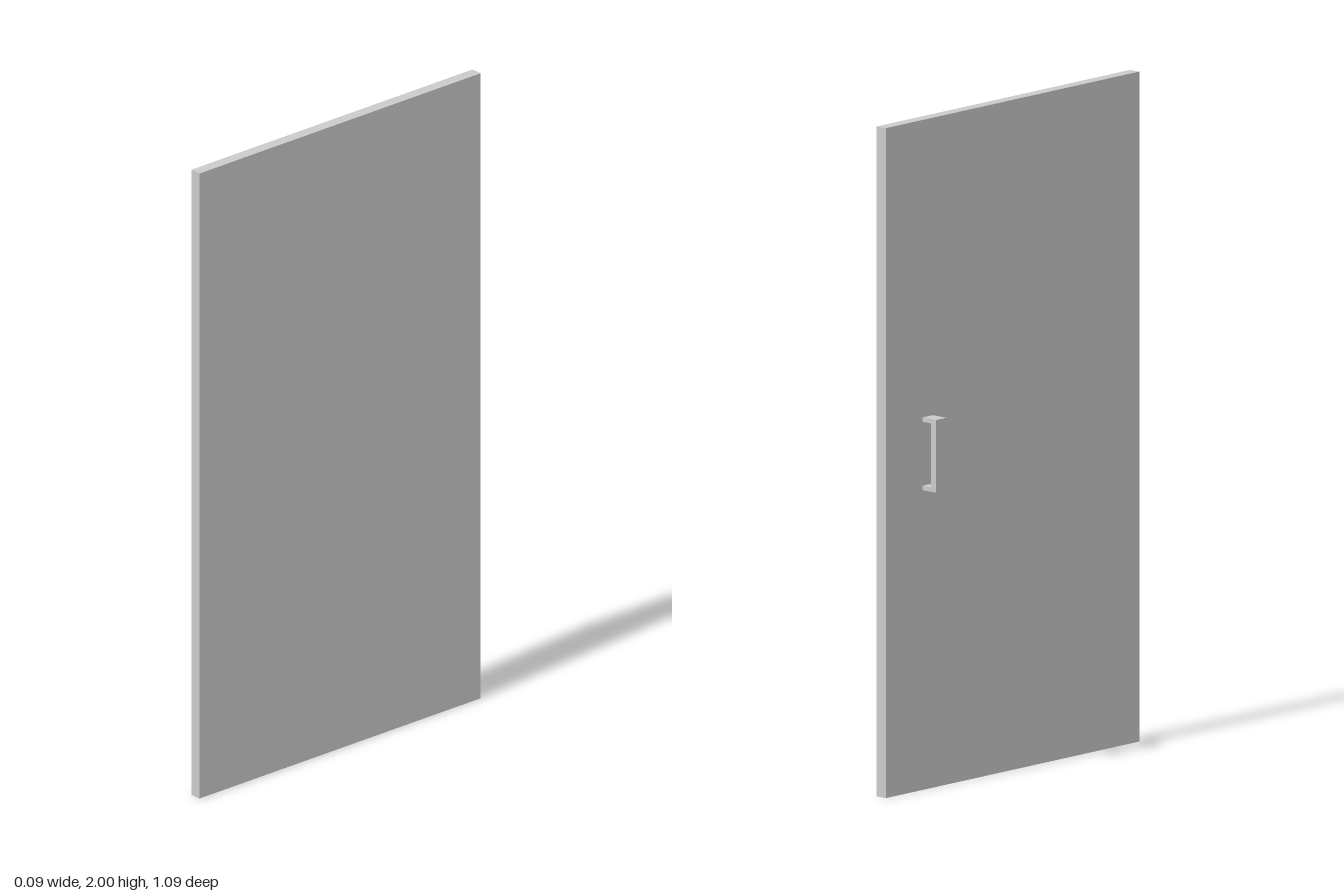
import * as THREE from 'three';

export function createModel() {
  const group = new THREE.Group();
  const material = new THREE.MeshStandardMaterial({ color: 0xcccccc, flatShading: true });

  // Plain slab door panel
  const panel = new THREE.Mesh(new THREE.BoxGeometry(0.036, 2, 1.09), material);
  panel.name = 'doorPanel';
  panel.position.set(0.027, 1, 0);
  group.add(panel);

  // C-shaped pull handle, extruded along z near the back edge
  const outer = -0.045, inner = -0.024, base = 0.009;
  const top = 1.112, bottom = 0.895, leg = 0.013;
  const profile = new THREE.Shape([
    [base, bottom], [base, bottom + leg], [inner, bottom + leg], [inner, top - leg],
    [base, top - leg], [base, top], [outer, top], [outer, bottom],
  ].map(([x, y]) => new THREE.Vector2(x, y)));
  const handle = new THREE.Mesh(
    new THREE.ExtrudeGeometry(profile, { depth: 0.044, bevelEnabled: false }), material);
  handle.name = 'pullHandle';
  handle.position.z = -0.387;
  group.add(handle);

  return group;
}
